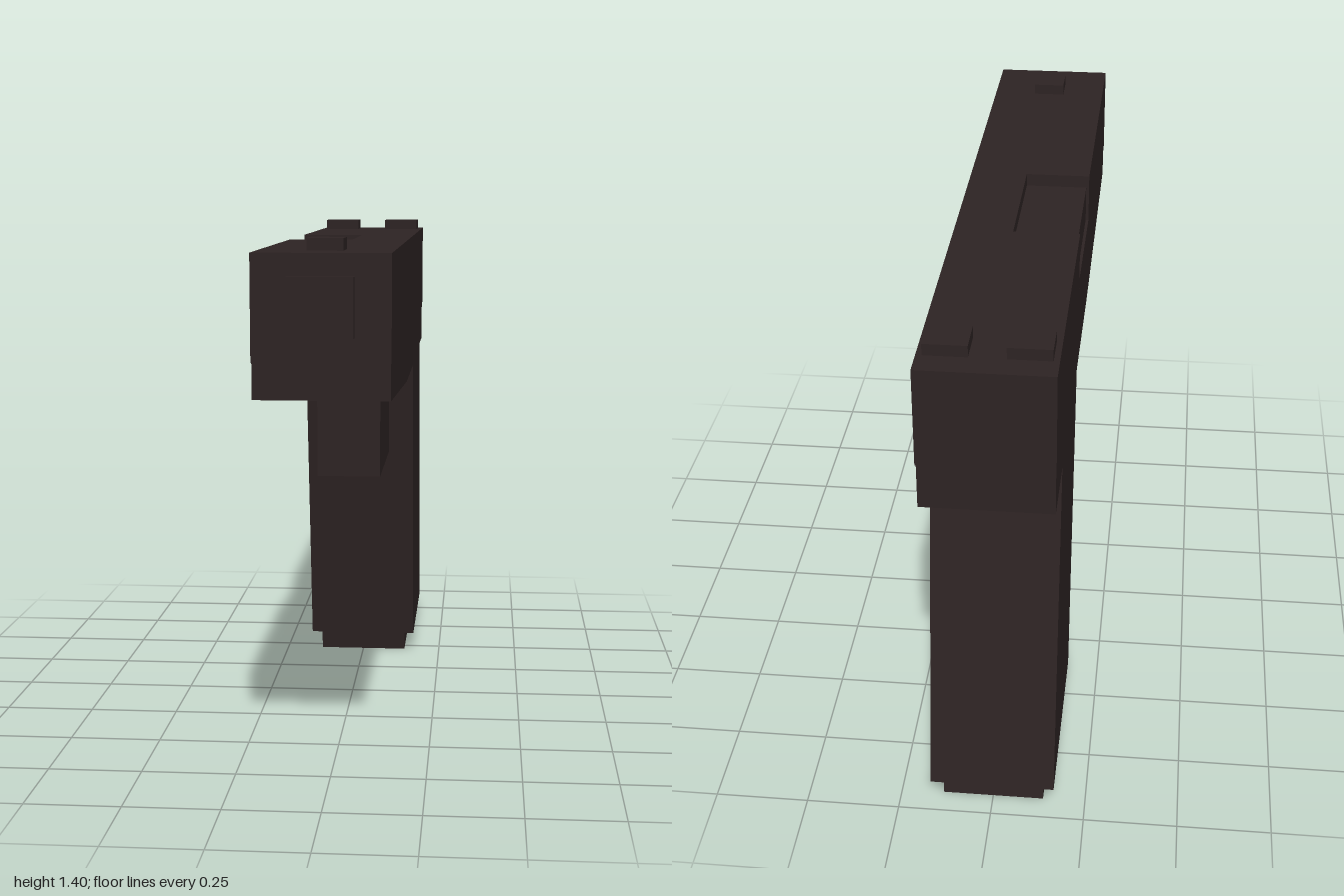
import * as THREE from 'three';

const gunmetal = new THREE.MeshStandardMaterial({ color: 0x2d2323 });
gunmetal.name = 'dark gunmetal';

const shapeOf = (pts) => new THREE.Shape(pts.map(([a, b]) => new THREE.Vector2(a, b)));

export function createModel() {
  const model = new THREE.Group();
  model.name = 'pistol';

  const add = (name, geometry) => {
    const mesh = new THREE.Mesh(geometry, gunmetal);
    mesh.name = name;
    model.add(mesh);
    return mesh;
  };

  // Box given by its limits on each axis
  const box = (name, [x0, x1], [y0, y1], [z0, z1]) =>
    add(name, new THREE.BoxGeometry(x1 - x0, y1 - y0, z1 - z0))
      .position.set((x0 + x1) / 2, (y0 + y1) / 2, (z0 + z1) / 2);

  // Side profile of [z, y] points, extruded across the width
  const profile = (name, pts, halfWidth) => {
    const g = new THREE.ExtrudeGeometry(shapeOf(pts), { depth: halfWidth * 2, bevelEnabled: false });
    add(name, g.translate(0, 0, -halfWidth).rotateY(-Math.PI / 2));
  };

  // Cross-section of [x, y] points, extruded from z0 to z1
  const section = (name, pts, z0, z1) => {
    const g = new THREE.ExtrudeGeometry(shapeOf(pts), { depth: z1 - z0, bevelEnabled: false });
    add(name, g.translate(0, 0, z0));
  };

  // Slide, with the ejection port cut into its top and one side
  const W = 0.168, bottom = 1.11, top = 1.37;
  box('slideFront', [-W, W], [bottom, top], [0.13, 0.975]);
  box('slideRear', [-W, W], [bottom, top], [-1, -0.25]);
  section('slideEjectionPort', [
    [-W, bottom], [W, bottom], [W, top], [0.01, top], [0.01, 1.335],
    [-0.16, 1.335], [-0.16, 1.235], [-W, 1.235],
  ], -0.25, 0.13);
  box('muzzle', [-0.08, 0.08], [1.17, 1.315], [0.96, 1]);

  // Frame and raked grip in one outline
  profile('frameAndGrip', [
    [0.97, bottom], [-0.99, bottom], [-0.99, 0.985], [-0.785, 0.985], [-0.96, 0.062],
    [-0.43, 0.062], [-0.27, 0.968], [0.15, 0.968], [0.97, 1.02],
  ], 0.1665);
  profile('magazineBase', [
    [-0.45, 0.065], [-0.92, 0.065], [-0.932, 0], [-0.46, 0],
  ], 0.136);

  // Solid trigger guard block, running into the grip
  box('triggerGuard', [-0.091, 0.091], [0.69, 1], [-0.4, 0.15]);

  // Sights
  box('frontSight', [-0.045, 0.045], [1.36, 1.4], [0.765, 0.86]);
  for (const s of [-1, 1]) {
    const xs = [s * 0.045, s * 0.153].sort((a, b) => a - b);
    box(s > 0 ? 'rearSightLeft' : 'rearSightRight', xs, [1.36, 1.4], [-0.93, -0.835]);
  }

  return model;
}
